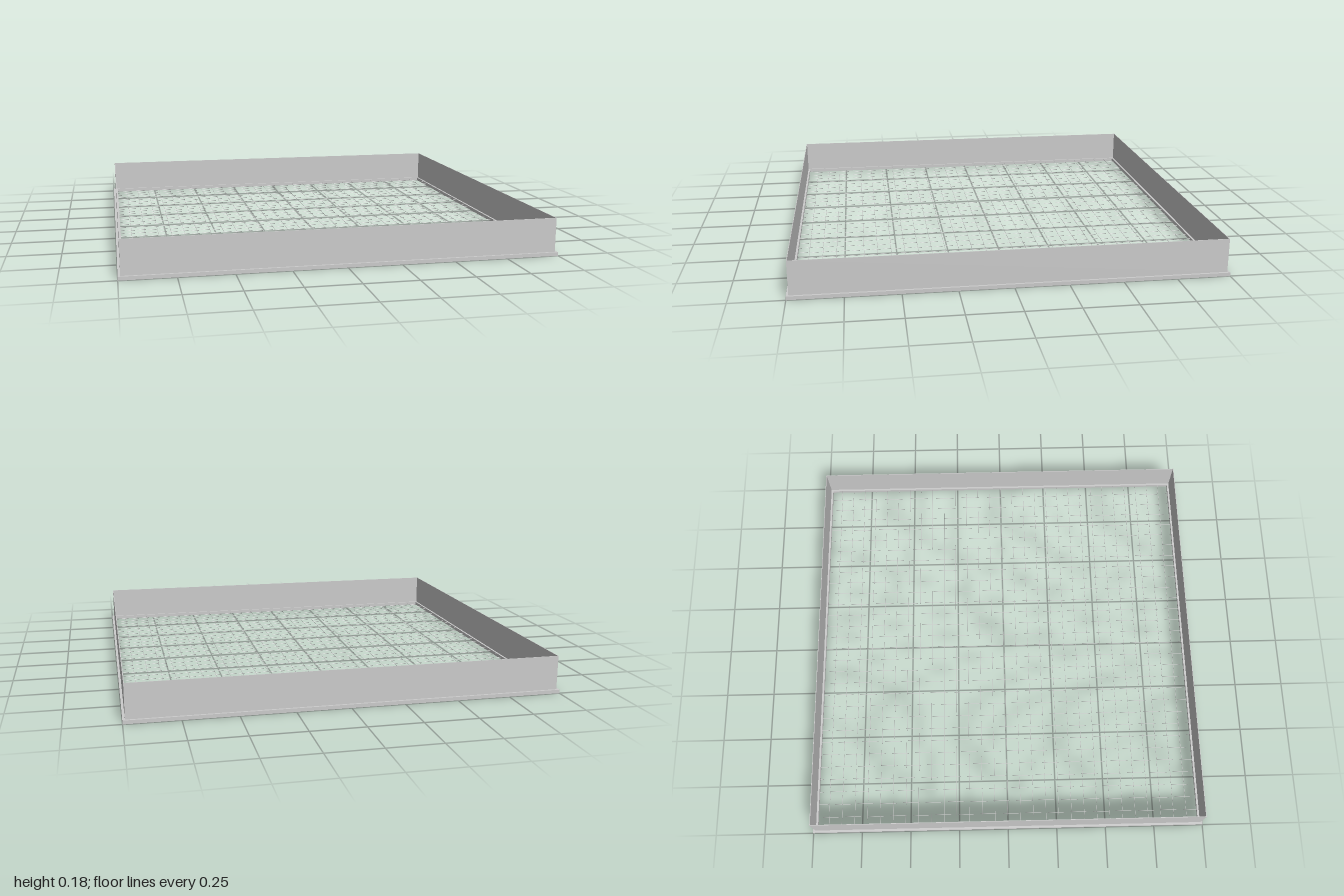
import * as THREE from 'three';

const material = new THREE.MeshStandardMaterial({ color: 0xcccccc, side: THREE.DoubleSide });

// Square ring standing on y = bottom, open in the middle
function squareRing(name, outer, inner, bottom, height) {
  const square = (Type, h) => new Type([
    new THREE.Vector2(-h, -h), new THREE.Vector2(h, -h),
    new THREE.Vector2(h, h), new THREE.Vector2(-h, h),
  ]);
  const shape = square(THREE.Shape, outer);
  shape.holes.push(square(THREE.Path, inner));
  const geometry = new THREE.ExtrudeGeometry(shape, { depth: height, bevelEnabled: false });
  geometry.rotateX(-Math.PI / 2).translate(0, bottom, 0);
  const mesh = new THREE.Mesh(geometry, material);
  mesh.name = name;
  return mesh;
}

export function createModel() {
  const tray = new THREE.Group();
  tray.name = 'sieveTray';

  // Bottom rim that clamps the mesh, and the thin upright walls
  const rimHeight = 0.017;
  tray.add(squareRing('rim', 1, 0.976, 0, rimHeight));
  tray.add(squareRing('walls', 0.989, 0.986, rimHeight, 0.178 - rimHeight));

  // Wire mesh: two crossing layers of fine wires
  const pitch = 0.0658, count = 14, thickness = 0.002, length = 1.96;
  const wire = new THREE.CylinderGeometry(thickness / 2, thickness / 2, length, 6);
  wire.rotateX(Math.PI / 2);
  const mesh = new THREE.Group();
  mesh.name = 'wireMesh';
  for (let i = -count; i <= count; i++) {
    const lengthwise = new THREE.Mesh(wire, material);
    lengthwise.name = 'lengthwiseWire';
    lengthwise.position.set(i * pitch, 0.008, 0);
    const crosswise = new THREE.Mesh(wire, material);
    crosswise.name = 'crosswiseWire';
    crosswise.position.set(0, 0.008 + thickness, i * pitch);
    crosswise.rotation.y = Math.PI / 2;
    mesh.add(lengthwise, crosswise);
  }
  tray.add(mesh);
  return tray;
}
